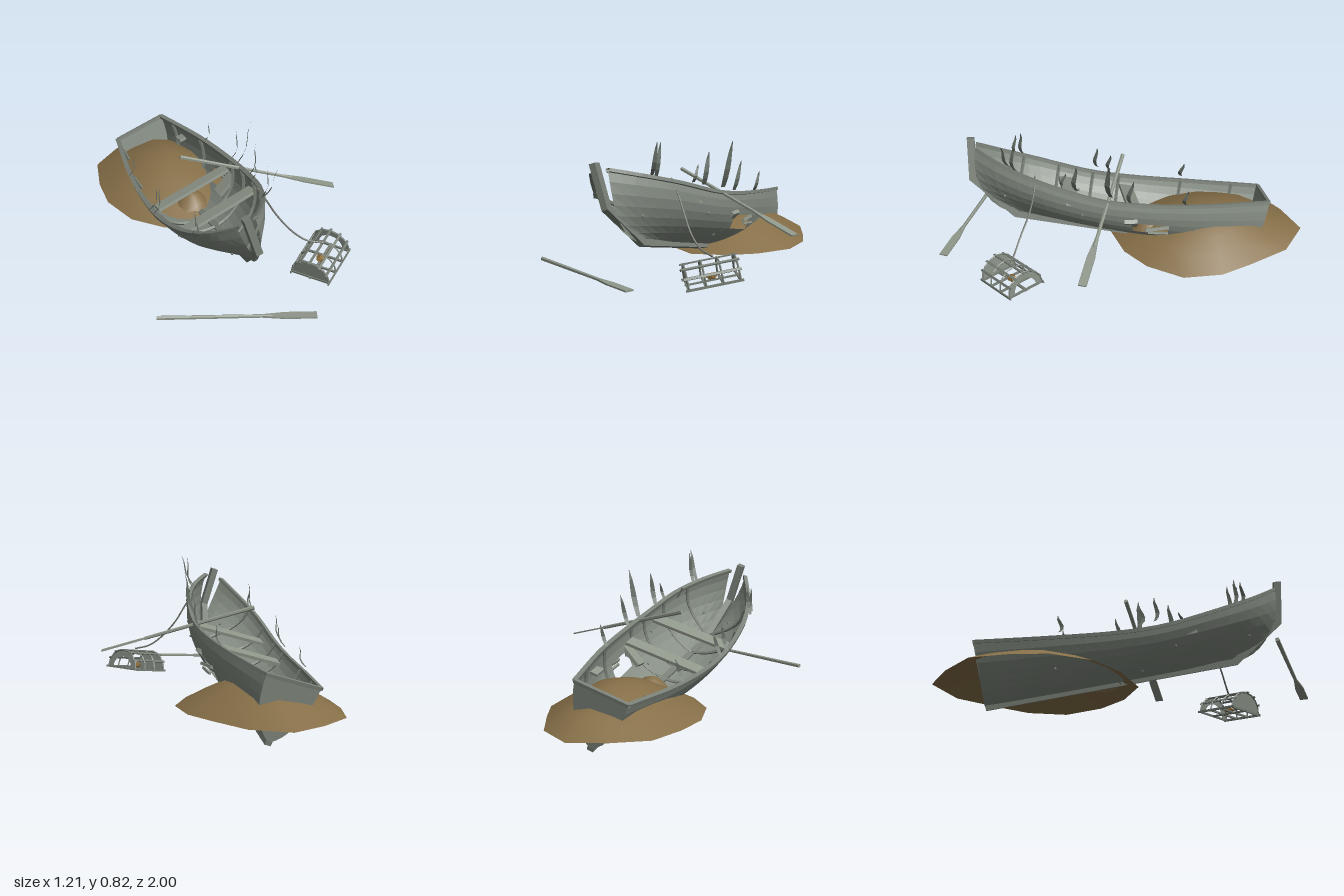
import * as THREE from 'three';
import { mergeVertices } from 'three/addons/utils/BufferGeometryUtils.js';

const V = (x, y, z) => new THREE.Vector3(x, y, z);
const mat = (name, color) => {
  const m = new THREE.MeshStandardMaterial({ color, side: THREE.DoubleSide });
  m.name = name;
  return m;
};

// Faceted normals for any geometry
function flat(geo) {
  const g = geo.index ? geo.toNonIndexed() : geo;
  g.computeVertexNormals();
  return g;
}

// Shared vertices and smooth normals
function smooth(geo) {
  geo.deleteAttribute('normal');
  const g = mergeVertices(geo, 1e-4);
  g.computeVertexNormals();
  return g;
}

// Faceted surface from f(u, v), with optional skipped cells
function grid(f, nu, nv, skip = () => false) {
  const pos = [];
  for (let i = 0; i < nu; i++) for (let j = 0; j < nv; j++) {
    if (skip(i, j)) continue;
    const a = f(i / nu, j / nv), b = f((i + 1) / nu, j / nv);
    const c = f((i + 1) / nu, (j + 1) / nv), d = f(i / nu, (j + 1) / nv);
    for (const p of [a, b, c, a, c, d]) pos.push(p.x, p.y, p.z);
  }
  const g = new THREE.BufferGeometry();
  g.setAttribute('position', new THREE.Float32BufferAttribute(pos, 3));
  g.computeVertexNormals();
  return g;
}

function add(parent, name, geo, material, p = [0, 0, 0], r = [0, 0, 0], finish = flat) {
  const m = new THREE.Mesh(finish(geo), material);
  m.name = name;
  m.position.set(...p);
  m.rotation.set(...r);
  parent.add(m);
  return m;
}

// Hull surface: curved sections between keel line and sheer line
const sheer = new THREE.CatmullRomCurve3([
  V(0.147, 0.348, -0.73), V(0.225, 0.288, -0.325), V(0.255, 0.252, 0), V(0.255, 0.247, 0.22),
  V(0.215, 0.286, 0.544), V(0.14, 0.322, 0.74), V(0.05, 0.36, 0.88)]);
function hullPoint(u, a, side, inset = 0) {
  const t = sheer.getPointAt(u), s = Math.sin(a), c = 1 - Math.cos(a);
  const x = t.x * Math.pow(s, 0.92 + 2.5 * Math.pow(u, 6) + 0.43 * Math.pow(1 - u, 3));
  const z0 = THREE.MathUtils.lerp(-0.73, 0.61, u);
  return V(side * Math.max(0, x - inset * s), 0.02 + (t.y - 0.02) * c + inset * (1 - s), z0 + (t.z - z0) * s);
}

// Hull point at a fixed distance along the boat
function hullPointAtZ(z, a, side, inset) {
  let lo = 0, hi = 1;
  for (let k = 0; k < 16; k++) {
    const mid = (lo + hi) / 2;
    if (hullPoint(mid, a, side).z < z) lo = mid; else hi = mid;
  }
  return hullPoint(lo, a, side, inset);
}

function buildBoat(M) {
  const boat = new THREE.Group();
  boat.name = 'boat';
  boat.position.set(-0.06, 0.159, 0);
  boat.rotation.set(-0.21, 0, 0.314);
  const Q = Math.PI / 2;

  for (const side of [1, -1]) {
    const label = side > 0 ? 'left' : 'right';
    // Planking, with a broken opening on the left
    add(boat, label + 'Planking', grid((u, v) => hullPoint(side > 0 ? u : 1 - u, v * Q, side), 24, 9,
      (i, j) => side > 0 && i >= 8 && i <= 10 && (j === 4 || j === 5)), M.hull);
    // Gunwale rail, square in section
    add(boat, label + 'Rail', grid((u, v) => {
      const k = Math.round(v * 4) % 4, p = hullPoint(u, Q, side);
      return p.add(V([-1, 1, 1, -1][k] * 0.012, [-1, -1, 1, 1][k] * 0.009 - 0.003, 0));
    }, 20, 4), M.rail);
    // Ribs following the inside of the hull
    for (const z of [-0.58, -0.3, 0.05, 0.2, 0.4, 0.605]) {
      const pts = [];
      for (let k = 0; k <= 8; k++) pts.push(hullPointAtZ(z, Q * (0.06 + 0.94 * k / 8), side, 0.014));
      add(boat, label + 'Rib', new THREE.TubeGeometry(new THREE.CatmullRomCurve3(pts), 10, 0.009, 4), M.rail);
    }
    // Rivets
    for (const [u, a] of [[0.24, 0.95], [0.62, 1.05], [0.55, 0.5], [0.9, 0.9]]) {
      add(boat, label + 'Rivet', new THREE.SphereGeometry(0.008, 6, 4), M.rail, hullPoint(u, a, side).toArray());
    }
  }

  // Transom and its cap
  const half = [];
  for (let k = 0; k <= 9; k++) half.push(hullPoint(0, Q * k / 9, 1));
  const outline = [...half.map(p => new THREE.Vector2(p.x, p.y)),
    ...half.slice(1).reverse().map(p => new THREE.Vector2(-p.x, p.y))];
  add(boat, 'transom', new THREE.ExtrudeGeometry(new THREE.Shape(outline), { depth: 0.015, bevelEnabled: false }),
    M.hull, [0, 0, -0.735]);
  add(boat, 'transomCap', new THREE.BoxGeometry(0.3, 0.018, 0.02), M.rail, [0, 0.345, -0.728]);

  // Keel and stem post
  add(boat, 'keel', new THREE.BoxGeometry(0.034, 0.034, 1.345), M.rail, [0, 0.017, -0.06]);
  const profile = [[0.61, 0], [0.885, 0.171], [0.932, 0.398], [0.892, 0.402], [0.85, 0.19], [0.59, 0.034]];
  const stem = new THREE.ExtrudeGeometry(new THREE.Shape(profile.map(p => new THREE.Vector2(...p))),
    { depth: 0.036, bevelEnabled: false });
  add(boat, 'stemPost', stem.rotateY(-Q).translate(0.018, 0, 0), M.rail);

  // Thwarts and a loose stern board
  add(boat, 'middleThwart', new THREE.BoxGeometry(0.44, 0.016, 0.075), M.timber, [0, 0.2, 0.0], [0, 0.03, 0]);
  add(boat, 'forwardThwart', new THREE.BoxGeometry(0.46, 0.016, 0.08), M.timber, [0, 0.19, 0.34], [0, 0.05, 0]);
  add(boat, 'sternBoard', new THREE.BoxGeometry(0.04, 0.014, 0.07), M.timber, [0.155, 0.27, -0.48]);

  // Splintered planks across the opening
  add(boat, 'splinter', new THREE.BoxGeometry(0.012, 0.016, 0.13), M.timber, [0.22, 0.125, -0.14], [0.25, 0.1, 0]);
  add(boat, 'splinter', new THREE.BoxGeometry(0.012, 0.012, 0.11), M.timber, [0.212, 0.1, -0.15], [0.1, 0.05, 0]);
  return boat;
}

// Oar running from grip to blade tip
function buildOar(name, grip, tip, M) {
  const oar = new THREE.Group(), L = grip.distanceTo(tip);
  oar.name = name;
  oar.position.copy(grip);
  oar.lookAt(tip);
  add(oar, 'shaft', new THREE.CylinderGeometry(0.009, 0.011, L * 0.72, 6).rotateX(Math.PI / 2), M.timber, [0, 0, L * 0.36]);
  const blade = new THREE.Shape([[-0.009, 0.66], [0.009, 0.66], [0.022, 0.8], [0.022, 1], [-0.022, 1], [-0.022, 0.8]]
    .map(([x, y]) => new THREE.Vector2(x, y * L)));
  add(oar, 'blade', new THREE.ExtrudeGeometry(blade, { depth: 0.008, bevelEnabled: false })
    .rotateX(Math.PI / 2).translate(0, 0.004, 0), M.timber);
  return oar;
}

// Arched trap with hoops, slats, one closed end and one ringed entrance
function buildTrap(M) {
  const trap = new THREE.Group(), R = 0.105, L = 0.25, Q = Math.PI / 2;
  trap.name = 'trap';
  trap.position.set(0.345, 0.168, 0.597);
  trap.rotation.set(0, 0.67, 0.17);
  for (let i = 0; i < 4; i++) {
    const x = -L / 2 + i * L / 3;
    add(trap, 'hoop', new THREE.TorusGeometry(R, 0.005, 4, 8, Math.PI).rotateY(Q), M.rail, [x, 0, 0]);
    add(trap, 'floorBar', new THREE.BoxGeometry(0.01, 0.01, R * 2), M.rail, [x, 0, 0]);
  }
  for (let i = 0; i <= 6; i++) {
    const a = Math.PI * i / 6;
    add(trap, 'slat', new THREE.BoxGeometry(L + 0.03, 0.006, 0.012), M.rail,
      [0, Math.sin(a) * R, Math.cos(a) * R], [Q - a, 0, 0]);
  }
  add(trap, 'floorSlat', new THREE.BoxGeometry(L + 0.02, 0.007, 0.014), M.rail);
  add(trap, 'closedEnd', new THREE.CircleGeometry(R, 8, 0, Math.PI).rotateY(-Q), M.hull, [-L / 2, 0, 0]);
  add(trap, 'entranceRing', new THREE.RingGeometry(0.068, R, 8, 1, 0, Math.PI).rotateY(Q), M.hull, [L / 2, 0, 0]);
  add(trap, 'bait', new THREE.DodecahedronGeometry(0.024).scale(1.2, 0.7, 1), M.bait, [0, 0.02, 0]);
  return trap;
}

export function createModel() {
  const M = {
    hull: mat('weathered planking', 0x858d83),
    rail: mat('dark timber', 0x798077),
    timber: mat('pale timber', 0x8f968a),
    weed: mat('weed', 0x687068),
    rope: mat('rope', 0x74786f),
    sand: mat('sand', 0x866f48),
    bait: mat('bait', 0x8a6a38),
  };
  const model = new THREE.Group();
  model.name = 'wreckedRowboat';
  model.add(buildBoat(M));

  // Sand mound: outline shrunk in rings towards the crest
  const rim = [[-0.1, -1], [0.09, -0.89], [0.21, -0.68], [0.29, -0.52], [0.31, -0.31], [0.21, -0.12], [0.08, 0.0],
    [-0.1, 0.07], [-0.29, -0.03], [-0.43, -0.17], [-0.5, -0.38], [-0.49, -0.57], [-0.44, -0.78], [-0.28, -0.91]];
  const rings = [[1, 0], [0.72, 0.068], [0.52, 0.112], [0.34, 0.148], [0.16, 0.168], [0, 0.175]];
  add(model, 'sandMound', grid((u, v) => {
    const [x, z] = rim[Math.round(u * rim.length) % rim.length], [k, y] = rings[Math.round(v * 5)];
    return V(-0.09 + (x + 0.09) * k, 0.135 + y, -0.48 + (z + 0.48) * k);
  }, rim.length, 5), M.sand, [0, 0, 0], [0, 0, 0], smooth);

  // Small drift of sand inside the boat
  add(model, 'sandDrift', grid((u, v) => {
    const a = u * Math.PI * 2, r = 0.12 * (1 - v);
    return V(Math.sin(a) * r, 0.1 * v * (2 - v), Math.cos(a) * r);
  }, 10, 3), M.sand, [-0.09, 0.155, -0.14], [0, 0, 0], smooth);

  // Broken plank jutting from the opening
  add(model, 'brokenPlank', new THREE.BoxGeometry(0.13, 0.022, 0.07), M.timber, [0.075, 0.325, -0.035], [0, 0, 0.8]);

  // Oars: one over the gunwale, one lying flat
  model.add(buildOar('restingOar', V(-0.2, 0.585, 0), V(0.6, 0.345, 0.225), M));
  model.add(buildOar('looseOar', V(-0.6, 0.182, 0.715), V(0.13, 0.174, 0.98), M));

  // Trap and its line
  model.add(buildTrap(M));
  const line = new THREE.CatmullRomCurve3([V(0.03, 0.62, 0.465), V(0.08, 0.54, 0.475), V(0.13, 0.45, 0.5),
    V(0.2, 0.36, 0.545), V(0.27, 0.305, 0.575), V(0.35, 0.285, 0.6)]);
  add(model, 'trapLine', new THREE.TubeGeometry(line, 18, 0.005, 5), M.rope);

  // Weed blades: base, tip, width
  const weeds = [
    [[0.0, 0.65, 0.59], [0.07, 0.82, 0.645], 0.022], [[0.01, 0.64, 0.57], [0.05, 0.81, 0.585], 0.022],
    [[0.07, 0.58, 0.32], [0.1, 0.67, 0.315], 0.018], [[0.09, 0.56, 0.25], [0.13, 0.73, 0.26], 0.028],
    [[0.1, 0.52, 0.07], [0.175, 0.77, 0.095], 0.032], [[0.11, 0.49, -0.03], [0.155, 0.65, -0.035], 0.024],
    [[0.07, 0.44, -0.33], [0.11, 0.55, -0.325], 0.02],
    [[-0.36, 0.49, 0.55], [-0.32, 0.65, 0.57], 0.022], [[-0.35, 0.5, 0.59], [-0.335, 0.63, 0.6], 0.02],
    [[-0.4, 0.37, 0.14], [-0.355, 0.52, 0.15], 0.022], [[-0.4, 0.35, 0.07], [-0.34, 0.48, 0.075], 0.022],
    [[-0.38, 0.31, -0.34], [-0.33, 0.42, -0.34], 0.022],
  ];
  for (const [base, tip, w] of weeds) {
    const a = V(...base), b = V(...tip);
    add(model, 'weedBlade', grid((u, v) => {
      const width = (v - 0.5) * (w * (0.6 + 2 * u) * (1 - u) + 0.003), sway = Math.sin(u * 5) * 0.012;
      return a.clone().lerp(b, u).add(V(sway * 0.8 - width * 0.6, 0, sway + width * 0.9));
    }, 5, 1), M.weed);
  }
  return model;
}
